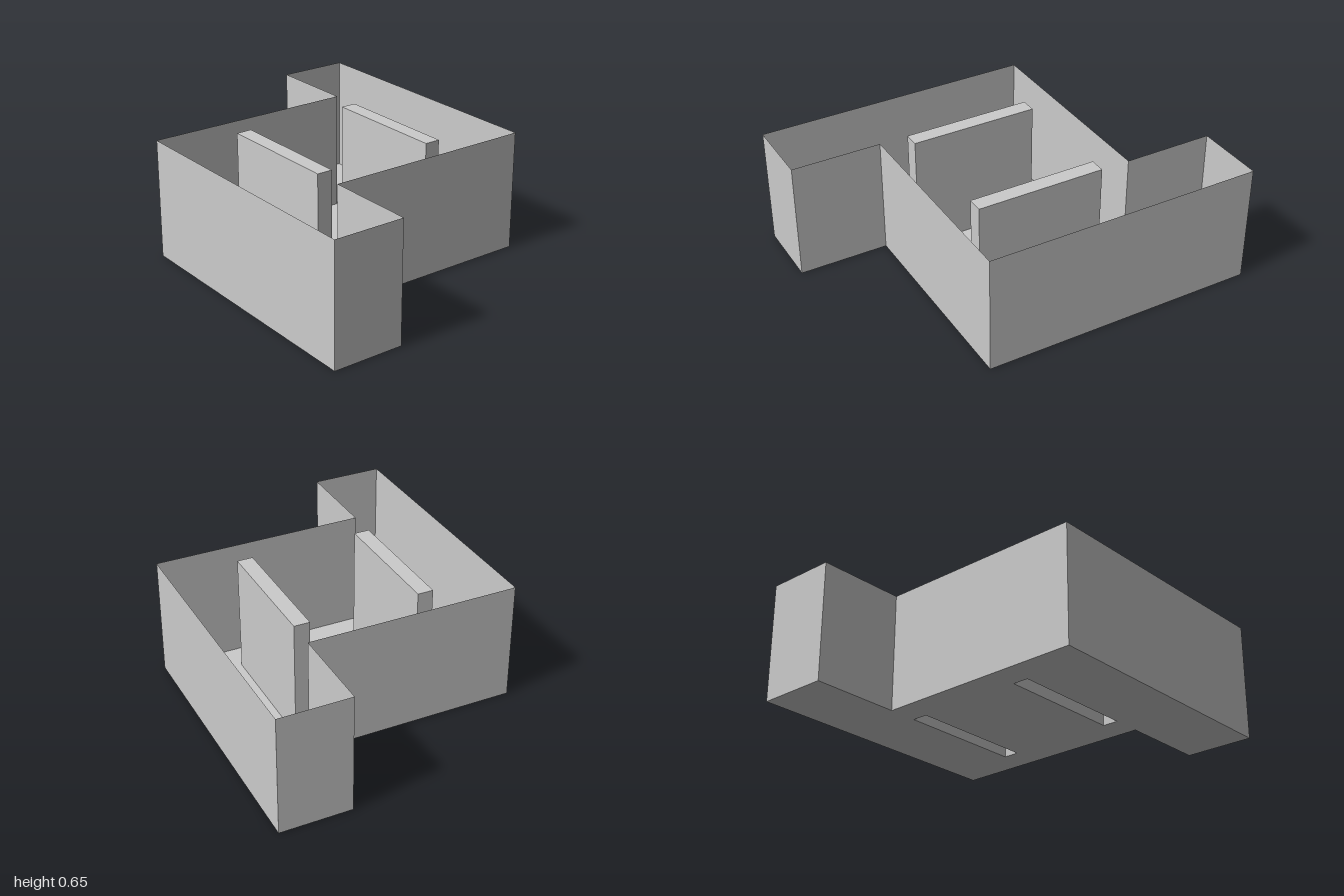
import * as THREE from 'three';

const HEIGHT = 0.65;
const material = new THREE.MeshStandardMaterial({ color: 0xcccccc, side: THREE.DoubleSide, flatShading: true });

// Plans are drawn in (x, -z), counter-clockwise, and laid flat on the ground
const toPoints = (pairs) => pairs.map(([x, z]) => new THREE.Vector2(x, -z));

// Thin upright walls along a closed plan, facing outwards
function wallsGeometry(plan) {
  const positions = [];
  plan.forEach((a, i) => {
    const b = plan[(i + 1) % plan.length];
    const a0 = [a.x, 0, -a.y], b0 = [b.x, 0, -b.y];
    const a1 = [a.x, HEIGHT, -a.y], b1 = [b.x, HEIGHT, -b.y];
    positions.push(...a0, ...b0, ...b1, ...a0, ...b1, ...a1);
  });
  const geometry = new THREE.BufferGeometry();
  geometry.setAttribute('position', new THREE.Float32BufferAttribute(positions, 3));
  geometry.computeVertexNormals();
  return geometry;
}

export function createModel() {
  const model = new THREE.Group();
  const add = (name, geometry, parent = model) => {
    const mesh = new THREE.Mesh(geometry, material);
    mesh.name = name;
    parent.add(mesh);
  };

  // Z-shaped plan: a broad middle with one arm forward and one arm back
  const W = 0.77, ARM = 0.384, MID = 0.51;
  const outline = toPoints([
    [-W, 1], [-ARM, 1], [-ARM, MID], [W, MID],
    [W, -1], [ARM, -1], [ARM, -MID], [-W, -MID],
  ]);

  // Two long slots, mirrored about the middle
  const slots = [-1, 1].map((side) => {
    const x = side * 0.341, hw = 0.043, hz = 0.352;
    return toPoints([[x - hw, hz], [x + hw, hz], [x + hw, -hz], [x - hw, -hz]]);
  });

  // Open-topped outer shell
  add('outerWalls', wallsGeometry(outline));

  // Floor pierced by the slots, facing down
  const floorShape = new THREE.Shape(outline);
  slots.forEach((slot) => floorShape.holes.push(new THREE.Path(slot)));
  const floor = new THREE.ShapeGeometry(floorShape);
  floor.index.array.reverse();
  floor.rotateX(-Math.PI / 2);
  floor.computeVertexNormals();
  add('floor', floor);

  // Hollow partitions: closed on top, open underneath through the slots
  slots.forEach((slot, i) => {
    const partition = new THREE.Group();
    partition.name = i === 0 ? 'rightPartition' : 'leftPartition';
    add('partitionWalls', wallsGeometry(slot), partition);
    const cap = new THREE.ShapeGeometry(new THREE.Shape(slot));
    cap.rotateX(-Math.PI / 2).translate(0, HEIGHT, 0);
    add('partitionTop', cap, partition);
    model.add(partition);
  });

  return model;
}
